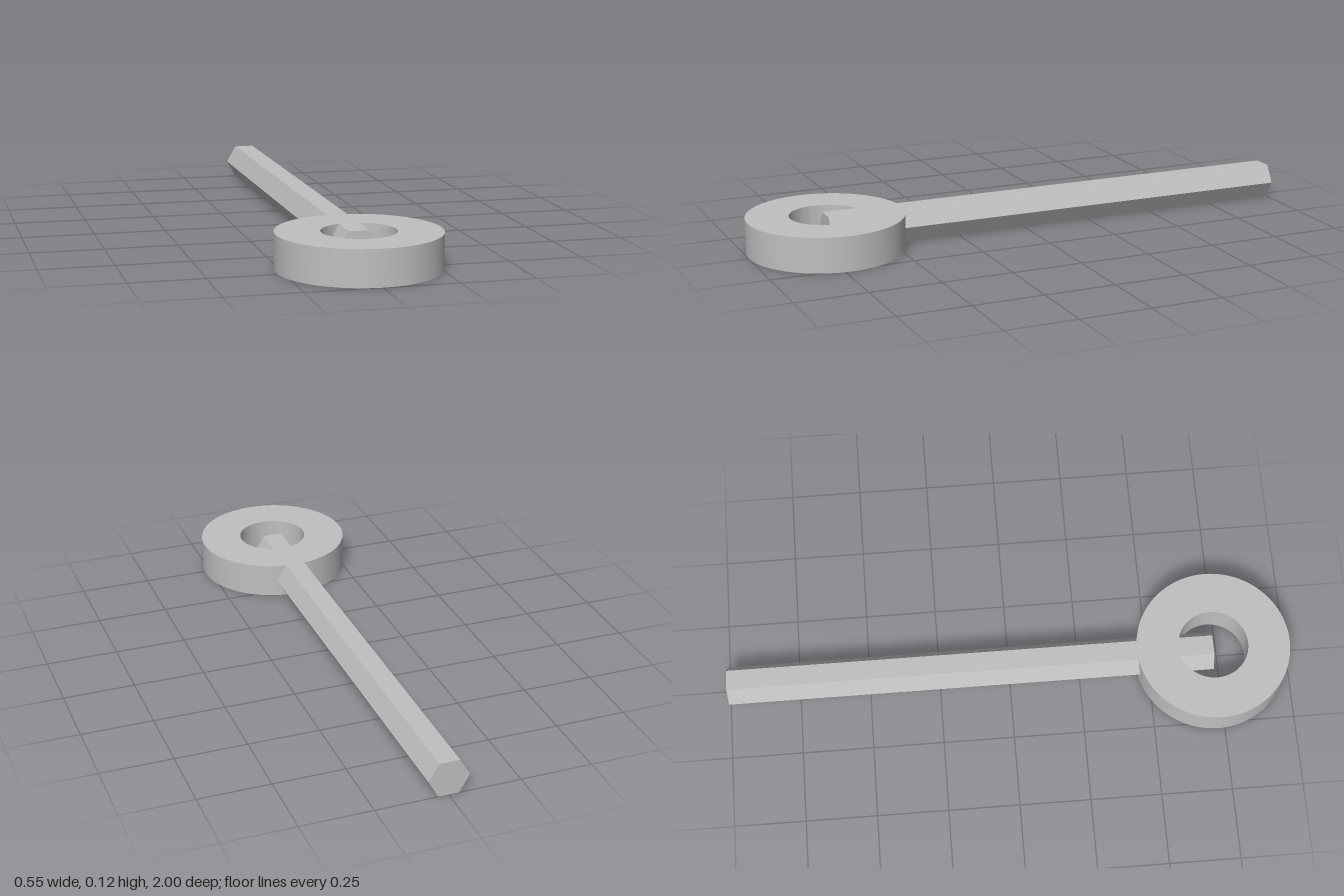
import * as THREE from 'three';
import { toCreasedNormals } from 'three/addons/utils/BufferGeometryUtils.js';

const HEIGHT = 0.122;      // ring thickness and rod width across flats
const OUTER = 0.2725;
const INNER = 0.124;
const RING_Z = 1 - OUTER;  // ring centre

export function createModel() {
  const model = new THREE.Group();
  model.name = 'eyeRod';
  const steel = new THREE.MeshStandardMaterial({ name: 'steel grey', color: 0xc0c0c0 });

  const addPart = (name, geometry) => {
    const mesh = new THREE.Mesh(toCreasedNormals(geometry, Math.PI / 6), steel);
    mesh.name = name;
    model.add(mesh);
    return mesh;
  };

  // Flat ring: rectangular section turned about the vertical axis
  const section = [
    [INNER, 0], [OUTER, 0], [OUTER, HEIGHT], [INNER, HEIGHT], [INNER, 0],
  ].map(([x, y]) => new THREE.Vector2(x, y));
  addPart('ring', new THREE.LatheGeometry(section, 96)).position.z = RING_Z;

  // Hexagonal rod: flats up and down, from the far end to the ring centre
  const length = 1 + RING_Z;
  const radius = HEIGHT / Math.sqrt(3);
  const rod = new THREE.CylinderGeometry(radius, radius, length, 6, 1, false, Math.PI / 6);
  rod.rotateX(Math.PI / 2);
  addPart('hexagonalRod', rod).position.set(0, HEIGHT / 2, -1 + length / 2);

  return model;
}
